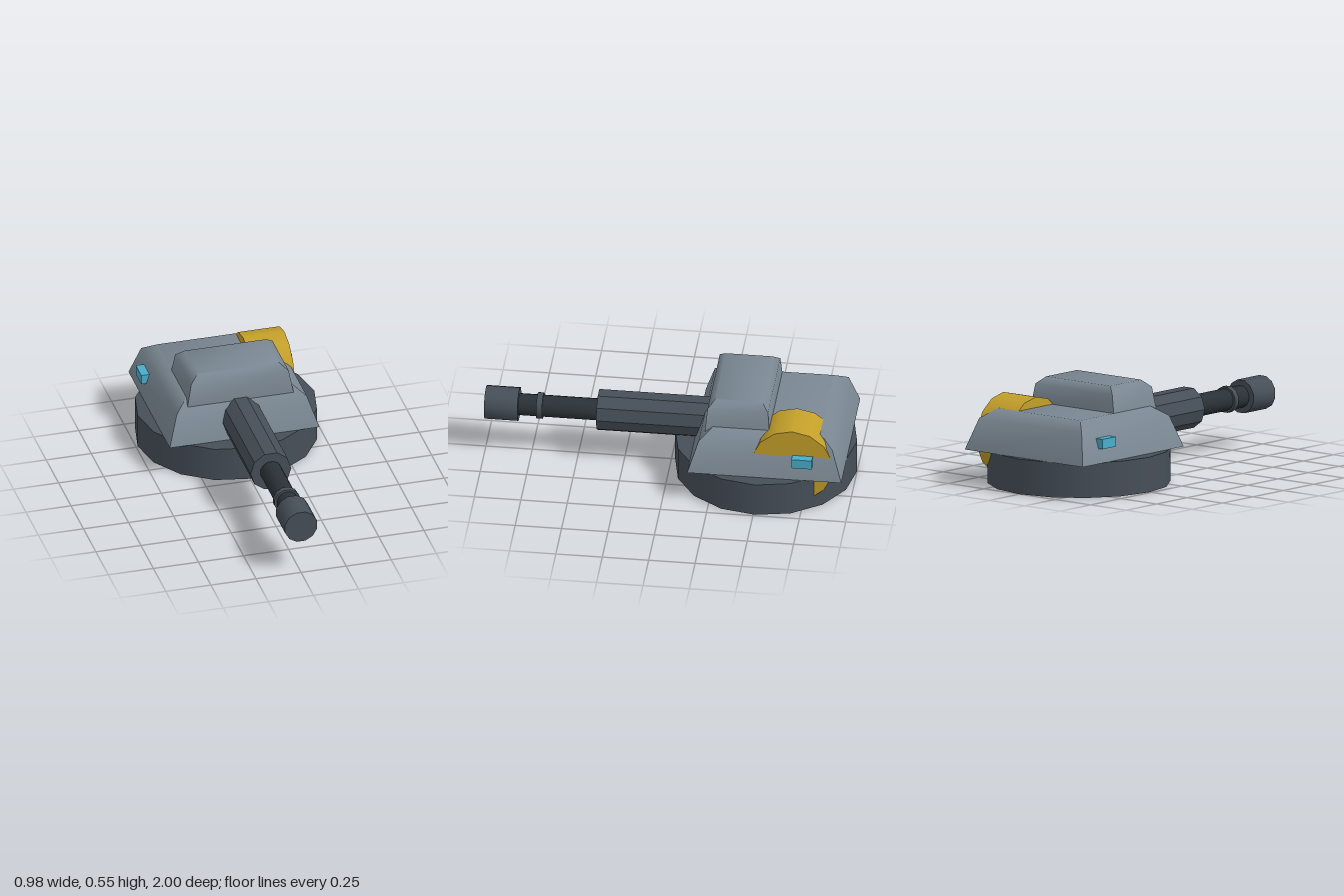
import * as THREE from 'three';
import { toCreasedNormals } from 'three/addons/utils/BufferGeometryUtils.js';

const paint = (color) => new THREE.MeshStandardMaterial({ color });
const ARMOUR = paint(0x7a8792), STEEL = paint(0x464f58), DARK = paint(0x2b3237);
const GOLD = paint(0xc4a02a), BLUE = paint(0x4aadcb);

// Closed rectangular shell lofted through rings of [y, halfWidth, halfDepth]
function loft(rings) {
  const pos = [], index = [];
  for (const [y, w, d] of rings) pos.push(-w, y, d, w, y, d, w, y, -d, -w, y, -d);
  for (let r = 0; r < rings.length - 1; r++) {
    for (let i = 0; i < 4; i++) {
      const a = r * 4 + i, b = r * 4 + (i + 1) % 4;
      index.push(a, b, b + 4, a, b + 4, a + 4);
    }
  }
  const t = (rings.length - 1) * 4;
  index.push(t, t + 1, t + 2, t, t + 2, t + 3, 0, 2, 1, 0, 3, 2);
  const geo = new THREE.BufferGeometry();
  geo.setAttribute('position', new THREE.Float32BufferAttribute(pos, 3));
  geo.setIndex(index);
  return toCreasedNormals(geo, 0.8);
}

export function createModel() {
  const model = new THREE.Group();
  const add = (name, geo, material, x, y, z) => {
    const mesh = new THREE.Mesh(geo, material);
    mesh.name = name;
    mesh.position.set(x, y, z);
    model.add(mesh);
    return mesh;
  };

  // Round base that the turret turns on
  add('turretRing', new THREE.CylinderGeometry(0.49, 0.49, 0.19, 16), STEEL, 0, 0.095, -0.51);

  // Armoured housing and the raised block on its roof
  add('housing', loft([[0.19, 0.415, 0.415], [0.36, 0.36, 0.36], [0.412, 0.29, 0.29]]),
    ARMOUR, 0, 0, -0.55);
  add('roofBlock', loft([[0.375, 0.295, 0.175], [0.51, 0.27, 0.163], [0.548, 0.225, 0.126]]),
    ARMOUR, 0, 0, -0.39);

  // Gun: cylinders along z from z0 to z1, all on one axis
  const tube = (name, r, z0, z1, sides, turn, material) => {
    const geo = new THREE.CylinderGeometry(r, r, z1 - z0, sides);
    geo.rotateY(turn).rotateX(Math.PI / 2);
    add(name, toCreasedNormals(geo, sides > 10 ? 0.7 : 0.3), material, 0, 0.283, (z0 + z1) / 2);
  };
  tube('barrelSleeve', 0.113, -0.3, 0.393, 10, Math.PI / 2, STEEL);
  tube('barrel', 0.06, 0.35, 0.99, 12, Math.PI / 12, DARK);
  tube('barrelBand', 0.072, 0.69, 0.722, 12, Math.PI / 12, STEEL);
  tube('muzzle', 0.092, 0.82, 1, 12, Math.PI / 12, STEEL);

  // Drum set into the left side, one corner of its polygon pointing up
  const drum = new THREE.CylinderGeometry(0.22, 0.22, 0.23, 14);
  drum.rotateY(Math.PI / 2).rotateZ(Math.PI / 2);
  drum.computeBoundingBox();
  if (drum.boundingBox.max.y < 0.219) drum.rotateX(Math.PI / 14);
  add('ammoDrum', drum, GOLD, 0.26, 0.25, -0.695);

  // Side lamps
  for (const s of [1, -1]) {
    add(s > 0 ? 'leftLamp' : 'rightLamp', new THREE.BoxGeometry(0.078, 0.054, 0.11),
      BLUE, s * 0.379, 0.293, -0.752);
  }
  return model;
}
